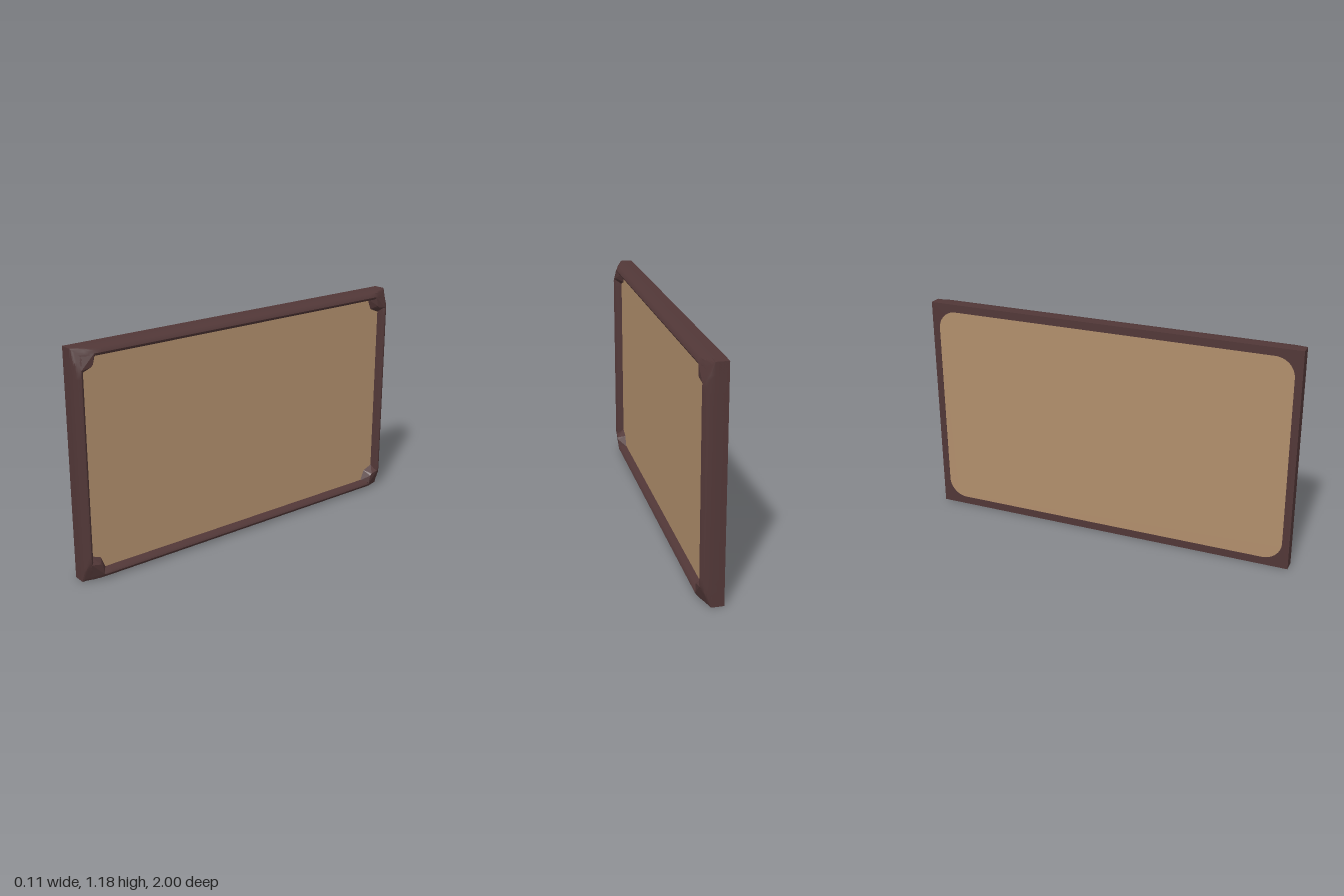
import * as THREE from 'three';
import { toCreasedNormals } from 'three/addons/utils/BufferGeometryUtils.js';
import { ConvexGeometry } from 'three/addons/geometries/ConvexGeometry.js';

const HALF_L = 1, HALF_H = 0.59, BACK = -0.058, FRONT = 0.055;

// Corners are cut by a sloping plane: a and b are the distances from the two outer edges
const cornerCap = (a, b) => Math.min(FRONT, 0.005 + 0.37 * (a + b));

// Rounded moulding section: [distance from outer edge, x]
const SECTION = [[0, BACK], [0, 0.005], [0.004, 0.024], [0.01, 0.039], [0.019, 0.05], [0.029, FRONT],
  [0.038, 0.051], [0.045, 0.04], [0.05, 0.0]];

// Mitred bar along z with its outer edge towards +y
function barGeometry(halfLen, halfOut) {
  const ends = [0, 0.06, 0.08, 0.11, 0.14];
  const stations = [...ends.map(d => [-1, d]), ...ends.slice().reverse().map(d => [1, d])];
  const pos = [], index = [], n = SECTION.length;
  stations.forEach(([sign, d], i) => SECTION.forEach(([inset, x], j) => {
    const e = Math.max(d, inset);
    pos.push(Math.min(x, cornerCap(e, inset)), halfOut - inset, sign * (halfLen - e));
    if (i && j) {
      const c = i * n + j, a = c - n - 1, b = c - 1, f = c - n;
      index.push(a, b, f, b, c, f);
    }
  }));
  const g = new THREE.BufferGeometry();
  g.setAttribute('position', new THREE.Float32BufferAttribute(pos, 3));
  g.setIndex(index);
  return toCreasedNormals(g, 0.6);
}

// Rounded rectangle in the plane of the board
function roundedRect(path, w, h, r) {
  path.moveTo(-w + r, -h);
  path.lineTo(w - r, -h);
  path.absarc(w - r, -h + r, r, -Math.PI / 2, 0);
  path.lineTo(w, h - r);
  path.absarc(w - r, h - r, r, 0, Math.PI / 2);
  path.lineTo(-w + r, h);
  path.absarc(-w + r, h - r, r, Math.PI / 2, Math.PI);
  path.lineTo(-w, -h + r);
  path.absarc(-w + r, -h + r, r, Math.PI, Math.PI * 1.5);
  return path;
}

// Extrude a shape so that it spans x0 to x1
function slab(shape, x0, x1) {
  const g = new THREE.ExtrudeGeometry(shape, { depth: x1 - x0, bevelEnabled: false, curveSegments: 8 });
  return g.rotateY(Math.PI / 2).translate(x0, 0, 0);
}

export function createModel() {
  const wood = new THREE.MeshStandardMaterial({ color: 0x513737 });
  wood.name = 'darkWood';
  const cork = new THREE.MeshStandardMaterial({ color: 0xb08e6b });
  cork.name = 'corkTan';

  const model = new THREE.Group();
  model.name = 'framedBoard';
  const add = (name, geometry, material) => {
    const mesh = new THREE.Mesh(geometry, material);
    mesh.name = name;
    mesh.position.y = HALF_H;
    model.add(mesh);
    return mesh;
  };

  // Four mitred frame bars
  ['topBar', 'frontBar', 'bottomBar', 'rearBar'].forEach((name, k) => {
    const g = k % 2 ? barGeometry(HALF_H, HALF_L) : barGeometry(HALF_L, HALF_H);
    add(name, g, wood).rotation.x = k * Math.PI / 2;
  });

  // Corner blocks: a small front outline over a wider base
  const frontOutline = [[0.02, 0.02], [0.03, 0.1], [0.09, 0.08], [0.08, 0.09], [0.1, 0.03]];
  const baseOutline = [[0.02, 0.02], [0.04, 0.134], [0.107, 0.107], [0.134, 0.04]];
  for (const sz of [-1, 1]) for (const sy of [-1, 1]) {
    const at = (a, b, x) => new THREE.Vector3(x, sy * (HALF_H - b), sz * (HALF_L - a));
    const points = [
      ...frontOutline.map(([a, b]) => at(a, b, cornerCap(a, b))),
      ...baseOutline.map(([a, b]) => at(a, b, 0.005)),
    ];
    add('cornerBlock', new ConvexGeometry(points), wood);
  }

  // Back of the frame with a rounded opening
  const ring = new THREE.Shape();
  ring.moveTo(-HALF_L, -HALF_H);
  ring.lineTo(HALF_L, -HALF_H);
  ring.lineTo(HALF_L, HALF_H);
  ring.lineTo(-HALF_L, HALF_H);
  ring.closePath();
  ring.holes.push(roundedRect(new THREE.Path(), HALF_L - 0.038, HALF_H - 0.042, 0.1));
  add('frameBack', slab(ring, BACK, -0.01), wood);

  // Board filling the opening
  const board = roundedRect(new THREE.Shape(), HALF_L - 0.038, HALF_H - 0.042, 0.1);
  add('board', slab(board, BACK + 0.001, 0.012), cork);

  return model;
}
